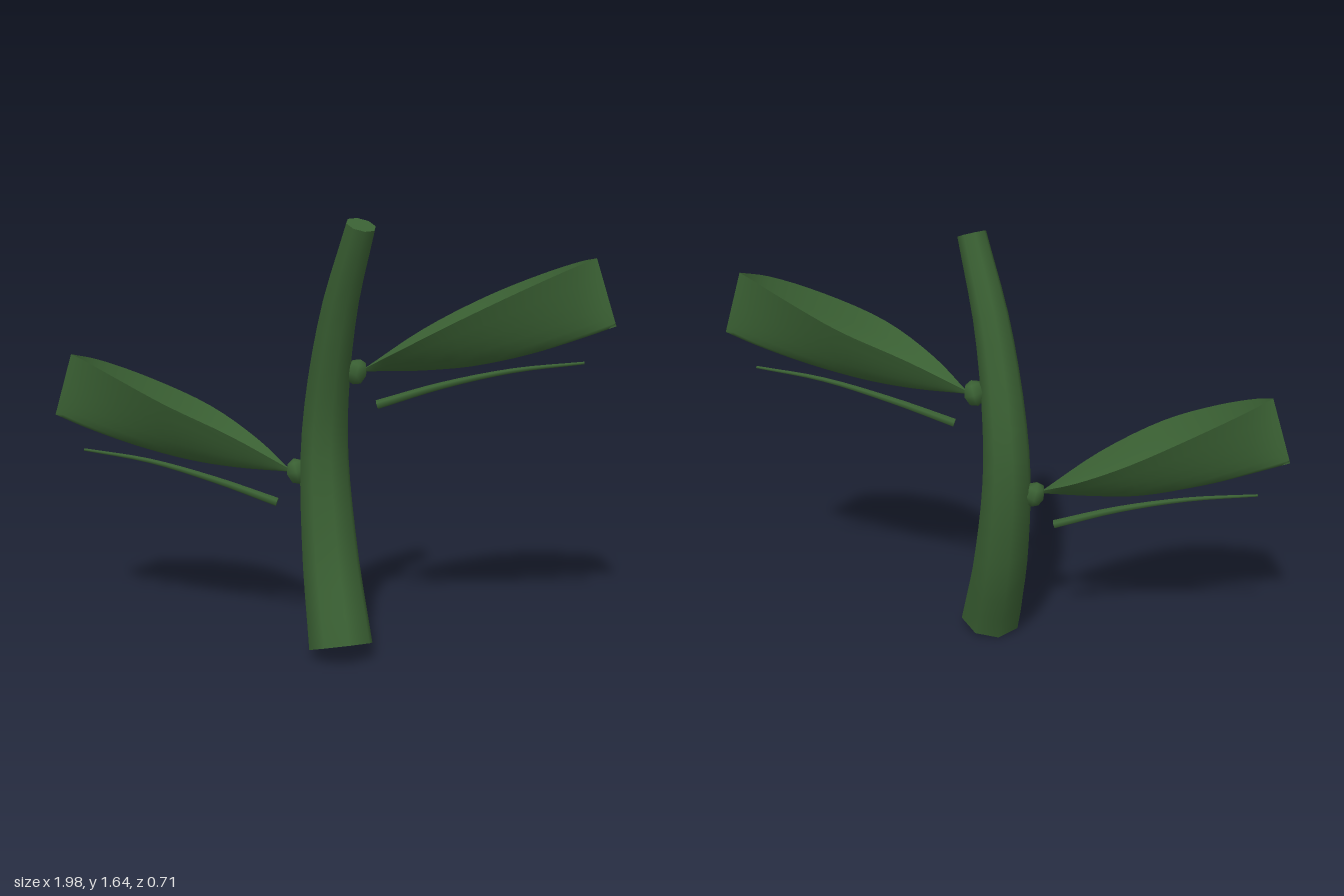
import * as THREE from 'three';

const leafGreen = new THREE.MeshStandardMaterial({ color: 0x3a6033, side: THREE.DoubleSide });
leafGreen.name = 'leafGreen';

const curveOf = (pts) => new THREE.CatmullRomCurve3(pts.map((p) => new THREE.Vector3(...p)));

function part(name, geometry, parent) {
  const mesh = new THREE.Mesh(geometry, leafGreen);
  mesh.name = name;
  parent.add(mesh);
  return mesh;
}

// Tube whose radius runs from r0 to r1, closed by flat caps
function taperedTube(name, pts, r0, r1, segments, sides, parent) {
  const curve = curveOf(pts);
  const geo = new THREE.TubeGeometry(curve, segments, 1, sides);
  const pos = geo.attributes.position;
  const v = new THREE.Vector3();
  for (let i = 0; i < pos.count; i++) {
    const t = Math.floor(i / (sides + 1)) / segments;
    const c = curve.getPointAt(t);
    v.fromBufferAttribute(pos, i).sub(c).multiplyScalar(r0 + (r1 - r0) * t).add(c);
    pos.setXYZ(i, v.x, v.y, v.z);
  }
  part(name, geo, parent);

  for (const end of [0, 1]) {
    const first = end * segments * (sides + 1);
    const ring = [];
    for (let j = 0; j < sides; j++) ring.push(new THREE.Vector3().fromBufferAttribute(pos, first + j));
    const out = curve.getTangentAt(end).multiplyScalar(end ? 1 : -1);
    const turn = ring[1].clone().sub(ring[0]).cross(ring[2].clone().sub(ring[0]));
    if (turn.dot(out) < 0) ring.reverse();
    const cap = new THREE.BufferGeometry().setFromPoints(ring);
    const index = [];
    for (let j = 1; j < sides - 1; j++) index.push(0, j, j + 1);
    cap.setIndex(index);
    cap.computeVertexNormals();
    part(name + (end ? 'EndCap' : 'StartCap'), cap, parent);
  }
}

// Boat-shaped blade: two rims and a keel, joined by curved cross-sections
function bladeGeometry() {
  const front = curveOf([[0.13, 1.08, -0.05], [0.3, 1.17, 0], [0.5, 1.28, -0.01],
    [0.7, 1.39, -0.12], [0.85, 1.47, -0.25], [0.91, 1.5, -0.34]]);
  const back = curveOf([[0.13, 1.08, -0.05], [0.3, 1.22, -0.2], [0.5, 1.34, -0.325],
    [0.7, 1.43, -0.355], [0.85, 1.485, -0.35], [0.91, 1.5, -0.34]]);
  const keel = curveOf([[0.13, 1.07, -0.05], [0.33, 1.08, -0.12], [0.5, 1.1, -0.17],
    [0.7, 1.15, -0.24], [0.88, 1.215, -0.31], [0.99, 1.26, -0.345]]);
  const rows = 20, cols = 12, points = [], index = [];
  for (let i = 0; i <= rows; i++) {
    const f = front.getPoint(i / rows), b = back.getPoint(i / rows), k = keel.getPoint(i / rows);
    const half = b.clone().sub(f).multiplyScalar(0.5);
    const rise = f.clone().add(b).multiplyScalar(0.5).sub(k);
    for (let j = 0; j <= cols; j++) {
      const s = (2 * j) / cols - 1;
      points.push(k.clone().addScaledVector(half, s).addScaledVector(rise, Math.abs(s) ** 1.7));
      if (i < rows && j < cols) {
        const a = i * (cols + 1) + j, n = a + cols + 1;
        index.push(a, n, a + 1, a + 1, n, n + 1);
      }
    }
  }
  const geo = new THREE.BufferGeometry().setFromPoints(points);
  geo.setIndex(index);
  geo.computeVertexNormals();
  return geo;
}

// Blade with its bud and the thin stalk below it
function createLeaf(name) {
  const leaf = new THREE.Group();
  leaf.name = name;
  part('leafBlade', bladeGeometry(), leaf);
  const bud = part('leafBud', new THREE.SphereGeometry(0.048, 6, 4), leaf);
  bud.position.set(0.11, 1.07, -0.03);
  bud.rotation.z = -0.3;
  bud.scale.set(0.85, 1.05, 1);
  taperedTube('leafStalk', [[0.18, 0.948, -0.06], [0.4, 1.025, -0.14],
    [0.65, 1.09, -0.22], [0.89, 1.125, -0.305]], 0.017, 0.005, 12, 6, leaf);
  return leaf;
}

export function createModel() {
  const model = new THREE.Group();
  model.name = 'leafySprig';

  // Bowed, tapering stem
  taperedTube('stem', [[0.125, 0.052, 0.12], [0.03, 0.4, 0.03], [-0.01, 0.82, -0.005],
    [0.075, 1.28, 0.055], [0.2, 1.625, 0.12]], 0.123, 0.055, 16, 8, model);

  // Upper leaf, and the lower one turned half way round the stem
  model.add(createLeaf('upperLeaf'));
  const lower = createLeaf('lowerLeaf');
  lower.rotation.y = Math.PI;
  lower.position.y = -0.39;
  model.add(lower);
  return model;
}
